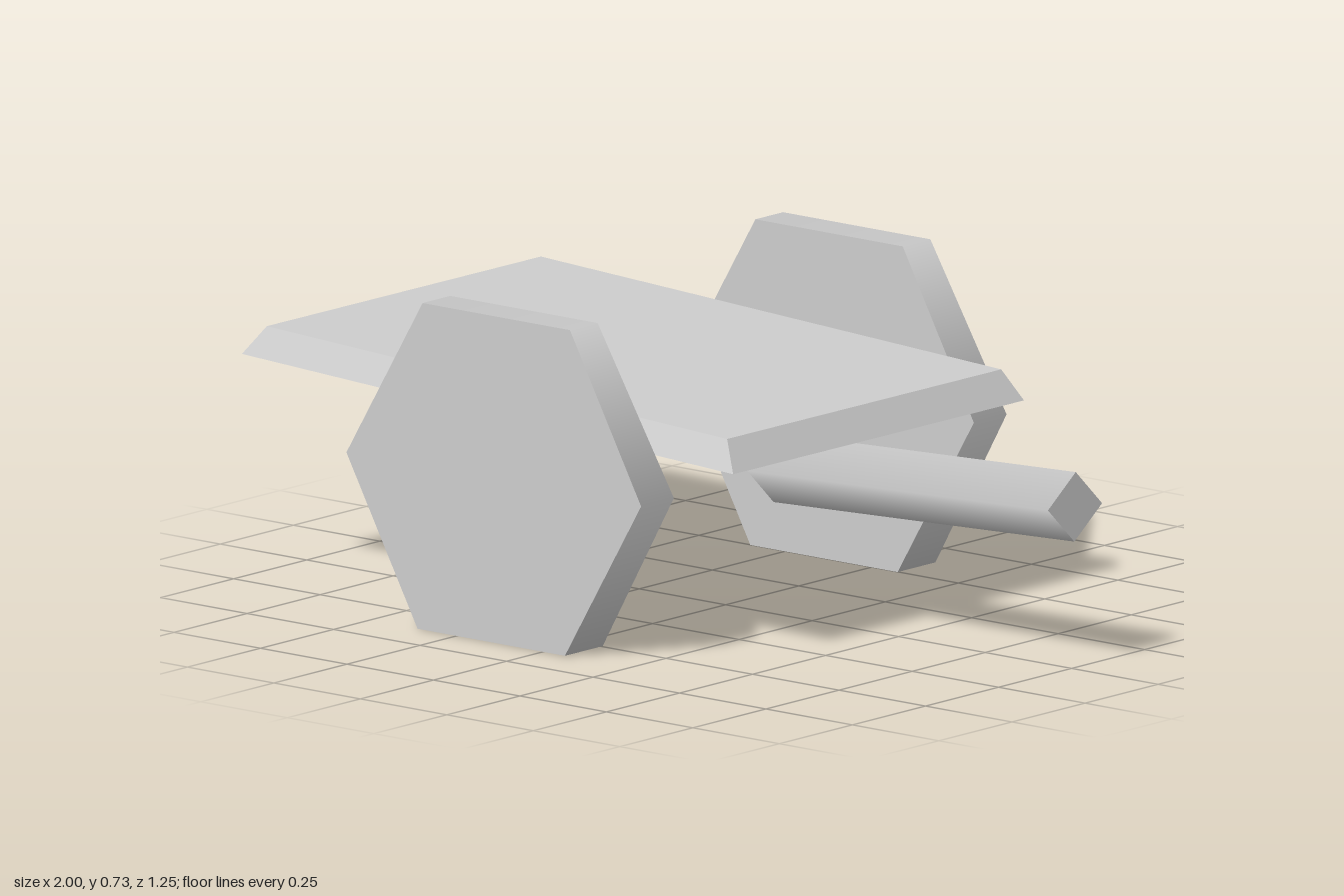
import * as THREE from 'three';

const paint = new THREE.MeshStandardMaterial({ color: 0xcccccc });
paint.name = 'light grey';
const shellPaint = paint;
shellPaint.side = THREE.DoubleSide;

function addMesh(group, name, geometry) {
  const mesh = new THREE.Mesh(geometry, paint);
  mesh.name = name;
  group.add(mesh);
}

// Moves every vertex by a rule.
function deform(geometry, rule) {
  const p = geometry.attributes.position;
  const v = new THREE.Vector3();
  for (let i = 0; i < p.count; i++) {
    rule(v.fromBufferAttribute(p, i));
    p.setXYZ(i, v.x, v.y, v.z);
  }
  return geometry;
}

// Flared tray, open underneath, tipped slightly down towards the handle.
function trayGeometry() {
  const box = new THREE.BoxGeometry(1, 0.067, 1);
  const index = Array.from(box.index.array);
  index.splice(18, 6); // leave out the bottom face
  box.setIndex(index);
  box.clearGroups();
  deform(box, (v) => {
    const top = v.y > 0;
    v.x *= top ? 1.34 : 1.43;
    v.z *= top ? 0.93 : 0.987;
  });
  const tray = box.toNonIndexed();
  tray.computeVertexNormals();
  return tray.rotateZ(-0.0455).rotateY(-0.007).translate(-0.278, 0.506, -0.0135);
}

// Six-sided wheel with a smooth-shaded rim, thicker at the ground.
function wheelGeometry(x, z) {
  const wheel = new THREE.CylinderGeometry(0.426, 0.426, 1, 6, 1, false, Math.PI / 2);
  wheel.rotateX(Math.PI / 2);
  deform(wheel, (v) => {
    v.z *= 0.112 - 0.047 * v.y;
    v.y *= 0.367 / 0.369;
  });
  return wheel.translate(x, 0.367, z);
}

// Four-sided handle bar standing on its edge, smooth-shaded along its length.
function handleGeometry() {
  const bar = new THREE.CylinderGeometry(1, 1, 0.87, 4, 1);
  bar.rotateZ(-Math.PI / 2);
  deform(bar, (v) => {
    v.y *= 0.0775;
    v.z *= 0.0925;
  });
  return bar.rotateX(-0.08).rotateZ(0.041).translate(0.563, 0.345, -0.0145);
}

export function createModel() {
  const model = new THREE.Group();
  model.name = 'handcart';
  addMesh(model, 'tray', trayGeometry());
  addMesh(model, 'frontWheel', wheelGeometry(-0.15, 0.56));
  addMesh(model, 'backWheel', wheelGeometry(-0.137, -0.563));
  addMesh(model, 'handle', handleGeometry());
  return model;
}
